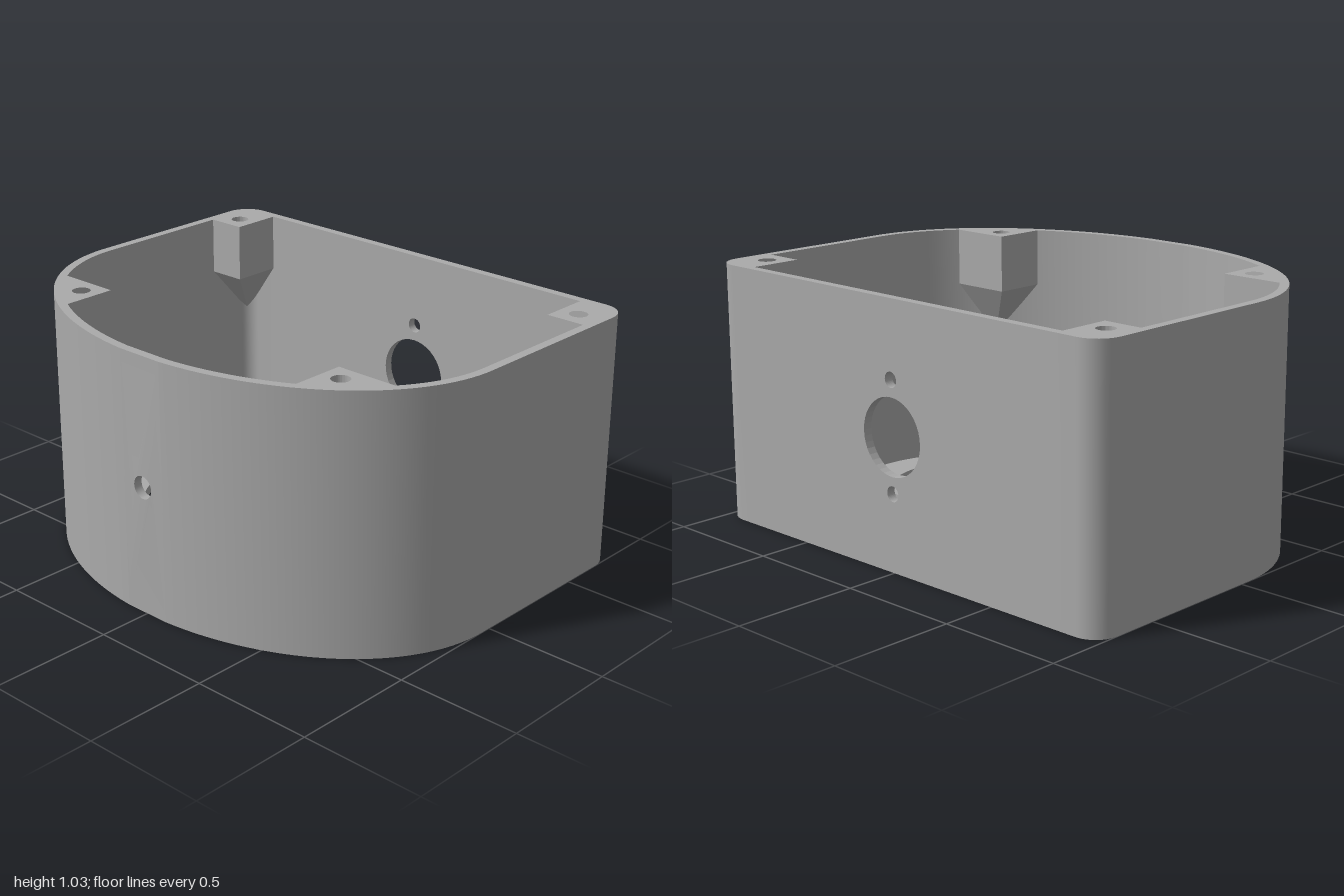
import * as THREE from 'three';
import { toCreasedNormals } from 'three/addons/utils/BufferGeometryUtils.js';
import { ConvexGeometry } from 'three/addons/geometries/ConvexGeometry.js';

const H = 1.035, WALL = 0.036, FLOOR = 0.036, RECESS = 0.016;
const BACK = -0.785, MID = 0.05, RIM = 0.735; // back plane, start of the curved front, its depth

export function createModel() {
  const model = new THREE.Group();
  const plastic = new THREE.MeshStandardMaterial({ color: 0xaaaaaa });
  plastic.name = 'grey plastic';

  const add = (name, geometry) => {
    const mesh = new THREE.Mesh(geometry, plastic);
    mesh.name = name;
    model.add(mesh);
    return mesh;
  };
  const circle = (x, y, r) => new THREE.Path().absarc(x, y, r, 0, Math.PI * 2, true);
  const disc = (x, y, r) => new THREE.Shape().absarc(x, y, r, 0, Math.PI * 2, false);
  // Extrudes a plan drawn in (x, z) upward from y0 to y1
  const slab = (shape, y0, y1, holes = []) => {
    shape.holes.push(...holes);
    const g = new THREE.ExtrudeGeometry(shape, { depth: y1 - y0, bevelEnabled: false, curveSegments: 40 });
    g.rotateX(Math.PI / 2).translate(0, y1, 0);
    return toCreasedNormals(g, 0.5);
  };
  const frontZ = (x, inset) => MID + (RIM - inset) * Math.sqrt(1 - (x / (1 - inset)) ** 2);

  // Half outline from the front at x0 round to the back at x1, inset from the outer face
  const halfOutline = (s, inset, x0, x1) => {
    const pts = [], a = 1 - inset, r = 0.1 - inset;
    const t0 = Math.asin(x0 / a);
    for (let i = 0; i <= 32; i++) {
      const t = t0 + (Math.PI / 2 - t0) * i / 32;
      pts.push(new THREE.Vector2(s * a * Math.sin(t), MID + (RIM - inset) * Math.cos(t)));
    }
    for (let i = 0; i <= 8; i++) {
      const t = Math.PI / 2 * i / 8;
      pts.push(new THREE.Vector2(s * (0.9 + r * Math.cos(t)), BACK + 0.1 - r * Math.sin(t)));
    }
    pts.push(new THREE.Vector2(s * x1, BACK + inset));
    return pts;
  };

  // Side walls
  const GAP = 0.1, PANEL = 0.8;
  for (const s of [-1, 1]) {
    const outer = halfOutline(s, 0, GAP, PANEL);
    const inner = halfOutline(s, WALL, GAP, PANEL).reverse();
    add(s > 0 ? 'leftWall' : 'rightWall', slab(new THREE.Shape([...outer, ...inner]), 0, H));
  }

  // Upright panel with round holes given as [x, y, r]
  const panel = (halfWidth, holes) => {
    const shape = new THREE.Shape();
    shape.moveTo(-halfWidth, 0).lineTo(halfWidth, 0).lineTo(halfWidth, H).lineTo(-halfWidth, H);
    shape.holes = holes.map(h => circle(...h));
    return new THREE.ExtrudeGeometry(shape, { depth: WALL, bevelEnabled: false, curveSegments: 20 });
  };
  add('backWall', panel(PANEL, [[0, 0.52, 0.15], [0, 0.735, 0.03], [0, 0.305, 0.03]]).translate(0, 0, BACK));

  // Front panel, bent to follow the curve of the wall
  const front = panel(GAP, [[0, 0.52, 0.045]]);
  const p = front.attributes.position;
  for (let i = 0; i < p.count; i++) p.setZ(i, frontZ(p.getX(i), p.getZ(i) > WALL / 2 ? 0 : WALL));
  front.computeVertexNormals();
  add('frontWall', toCreasedNormals(front, 0.5));

  // Floor in two layers: the lower one leaves the shallow recesses underneath
  const plan = () => new THREE.Shape([
    ...halfOutline(1, WALL, 0, 0.01), ...halfOutline(-1, WALL, 0, 0.01).reverse()]);
  const vent = new THREE.Path([[-0.71, -0.655], [0.71, -0.655], [0.71, -0.405], [-0.71, -0.405]]
    .map(q => new THREE.Vector2(...q)));
  add('floorUnderside', slab(plan(), 0, RECESS, [circle(-0.46, 0, 0.386), circle(0.46, 0, 0.386), vent]));
  add('floor', slab(plan(), RECESS, FLOOR, [circle(-0.46, 0, 0.27), circle(0.46, 0, 0.27)]));

  // Vent slats under the floor
  for (let i = 0; i < 4; i++) {
    const slat = add('ventSlat', new THREE.BoxGeometry(1.3, RECESS, 0.025));
    slat.position.set(0, RECESS / 2, -0.605 + i * 0.05);
  }

  // Cable block from the back wall
  const block = add('cableBlock', new THREE.BoxGeometry(0.24, 0.07, 0.72));
  block.position.set(0, FLOOR + 0.03, -0.39);

  for (const s of [-1, 1]) {
    // Collar around the large opening, and the web beside it
    add('openingCollar', slab(disc(s * 0.46, 0, 0.302), FLOOR, 0.075, [circle(s * 0.46, 0, 0.27)]));
    const web = new THREE.Shape([[0.12, -0.142], [0.194, -0.142], [0.168, -0.08], [0.158, 0],
      [0.168, 0.08], [0.194, 0.148], [0.12, 0.148]].map(([x, z]) => new THREE.Vector2(s * x, z)));
    add('collarWeb', slab(web, FLOOR, 0.075));

    // Screw standoffs
    for (const [x, z] of [[0.725, -0.28], [0.2, 0.29]])
      add('standoff', slab(disc(s * x, z, 0.064), FLOOR, 0.16, [circle(s * x, z, 0.035)]));

    // Corner screw posts, each tapering down into the wall
    const backPlan = [[0.805, -0.54], [0.98, -0.54], [0.98, -0.7], [0.92, -0.765], [0.805, -0.765]];
    const frontPlan = [[0.59, 0.385], [0.862, 0.385]];
    for (let i = 1; i <= 6; i++) {
      const x = 0.862 - (0.862 - 0.59) * i / 6;
      frontPlan.push([x, frontZ(x, 0.02)]);
    }
    const posts = [
      ['backPost', backPlan, [0.885, -0.625], [0.965, -0.75]],
      ['frontPost', frontPlan, [0.67, 0.465], [0.75, 0.51]]];
    for (const [name, pts, hole, apex] of posts) {
      const y = H - 0.235;
      const shape = new THREE.Shape(pts.map(([x, z]) => new THREE.Vector2(s * x, z)));
      add(name, slab(shape, y, H, [circle(s * hole[0], hole[1], 0.036)]));
      const corners = pts.map(([x, z]) => new THREE.Vector3(s * x, y, z));
      corners.push(new THREE.Vector3(s * apex[0], y - 0.23, apex[1]));
      add(name + 'Taper', new ConvexGeometry(corners));
    }
  }
  return model;
}
